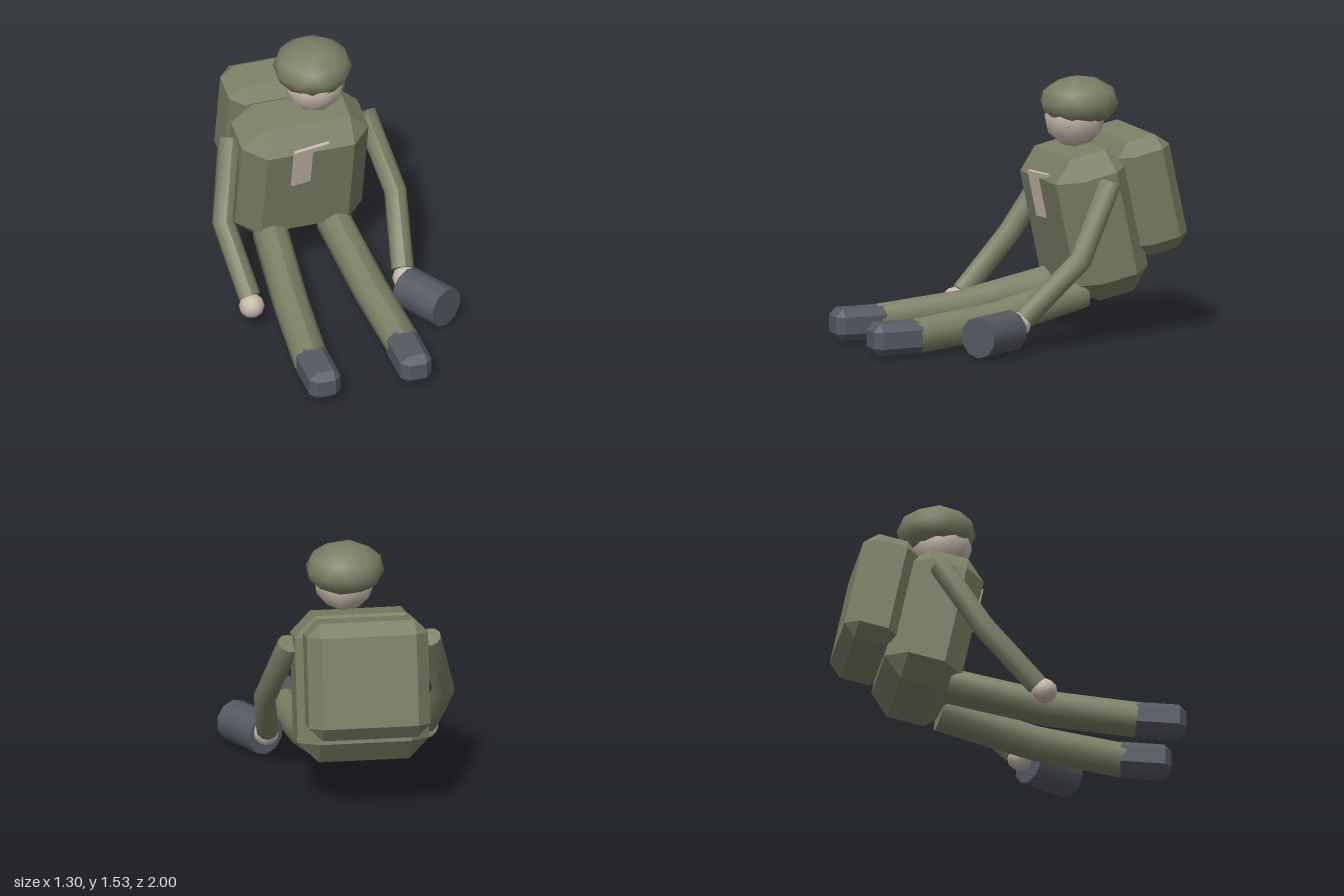
import * as THREE from 'three';
import { ConvexGeometry } from 'three/addons/geometries/ConvexGeometry.js';

const V = (x, y, z) => new THREE.Vector3(x, y, z);

// Box with every edge and corner cut at 45 degrees
function chamferBox(w, h, d, c) {
  const pts = [];
  for (const sx of [-1, 1]) for (const sy of [-1, 1]) for (const sz of [-1, 1]) {
    const x = w / 2, y = h / 2, z = d / 2;
    pts.push(V(sx * x, sy * (y - c), sz * (z - c)));
    pts.push(V(sx * (x - c), sy * y, sz * (z - c)));
    pts.push(V(sx * (x - c), sy * (y - c), sz * z));
  }
  return new ConvexGeometry(pts);
}

// Ten-sided bent cylinder: each ring is moved to a point of the path
function limb(points, radius) {
  const n = points.length - 1;
  const geo = new THREE.CylinderGeometry(radius, radius, 1, 10, n);
  const frames = points.map((p, i) => {
    const dir = points[Math.max(i - 1, 0)].clone().sub(points[Math.min(i + 1, n)]).normalize();
    return new THREE.Quaternion().setFromUnitVectors(V(0, 1, 0), dir);
  });
  const pos = geo.attributes.position;
  const v = V(0, 0, 0);
  for (let i = 0; i < pos.count; i++) {
    v.fromBufferAttribute(pos, i);
    const k = Math.round((0.5 - v.y) * n);
    v.setY(0).applyQuaternion(frames[k]).add(points[k]);
    pos.setXYZ(i, v.x, v.y, v.z);
  }
  geo.computeVertexNormals();
  return geo;
}

// Low-poly smooth ball with a vertex at the top
function ball(radius) {
  const geo = new THREE.IcosahedronGeometry(radius, 1);
  return geo.rotateZ(Math.atan(2 / (1 + Math.sqrt(5))));
}

export function createModel() {
  const mat = (name, color) => {
    const m = new THREE.MeshStandardMaterial({ color });
    m.name = name;
    return m;
  };
  const olive = mat('olive cloth', 0x7b7f64);
  const skin = mat('skin', 0xc8baac);
  const dark = mat('dark grey', 0x555963);

  const model = new THREE.Group();
  model.name = 'seatedFigure';
  const add = (parent, name, geo, material, x = 0, y = 0, z = 0) => {
    const mesh = new THREE.Mesh(geo, material);
    mesh.name = name;
    mesh.position.set(x, y, z);
    parent.add(mesh);
    return mesh;
  };

  const mid = -0.063; // the body sits slightly off centre

  // Torso, backpack and chest patch lean forward together
  const upper = new THREE.Group();
  upper.name = 'upperBody';
  upper.rotation.x = THREE.MathUtils.degToRad(12);
  model.add(upper);
  add(upper, 'torso', chamferBox(0.77, 0.86, 0.46, 0.12), olive, mid, 0.57, -0.6);
  add(upper, 'backpack', chamferBox(0.71, 0.69, 0.33, 0.077), olive, mid, 0.659, -0.94);
  const patch = add(upper, 'chestPatch', new THREE.BoxGeometry(0.222, 0.276, 0.02), skin, -0.06, 0.775, -0.379);
  patch.rotation.y = THREE.MathUtils.degToRad(8);

  // Head and helmet
  add(model, 'head', ball(0.18), skin, 0.015, 1.3, -0.375);
  const helmet = add(model, 'helmet', ball(0.232), olive, 0.015, 1.387, -0.405);
  helmet.scale.y = 0.65;

  // Limbs, mirrored about the middle of the body
  for (const [side, s] of [['left', 1], ['right', -1]]) {
    const at = (x, y, z) => V(mid + s * x, y, z);
    add(model, side + 'Arm', limb([at(0.412, 0.95, -0.455), at(0.523, 0.53, -0.22), at(0.465, 0.205, 0.105)], 0.066), olive);
    add(model, side + 'Hand', ball(0.075), skin, mid + s * 0.467, 0.17, 0.147);
    add(model, side + 'Leg', limb([at(0.192, 0.292, -0.37), at(0.242, 0.165, 0.2), at(0.281, 0.112, 0.716)], 0.104), olive);
    add(model, side + 'Boot', chamferBox(0.19, 0.185, 0.34, 0.043), dark, mid + s * 0.277, 0.112, 0.83);
  }

  // Canister lying by the left hand
  const canister = new THREE.CylinderGeometry(0.122, 0.122, 0.312, 10).rotateX(Math.PI / 2);
  add(model, 'canister', canister, dark, 0.477, 0.14, 0.33).rotation.y = Math.PI / 6;

  return model;
}
